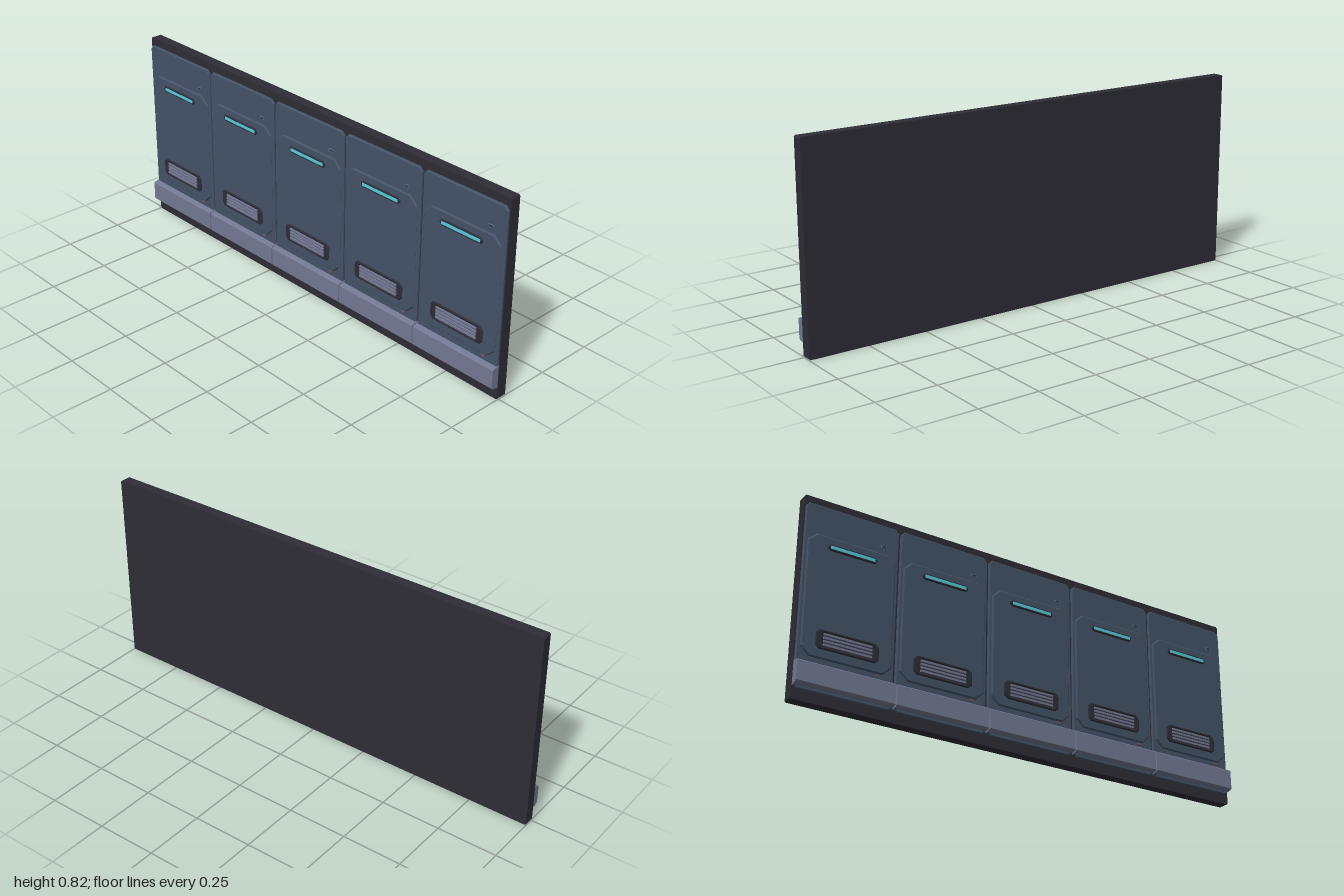
import * as THREE from 'three';

const mat = (name, color) => Object.assign(new THREE.MeshStandardMaterial({ color }), { name });

// Rectangle with cut corners: c = bottom cut [width, height], t = top cut
function outline(target, w, y0, y1, t, c = t) {
  const x = w / 2;
  [[-x + c[0], y0], [x - c[0], y0], [x, y0 + c[1]], [x, y1 - t[1]],
    [x - t[0], y1], [-x + t[0], y1], [-x, y1 - t[1]], [-x, y0 + c[1]]]
    .forEach(([px, py], i) => (i ? target.lineTo(px, py) : target.moveTo(px, py)));
  target.closePath();
  return target;
}

// Plate between z0 and z1 with a bevelled rim
function plate(shape, z0, z1, bevel) {
  const g = new THREE.ExtrudeGeometry(shape, {
    depth: z1 - z0 - 2 * bevel, bevelEnabled: bevel > 0, bevelSegments: 1,
    bevelSize: bevel, bevelThickness: bevel, bevelOffset: -bevel,
  });
  return g.translate(0, 0, z0 + bevel);
}

const box = (w, h, d, x, y, z) => new THREE.BoxGeometry(w, h, d).translate(x, y, z);

export function createModel() {
  const dark = mat('dark frame', 0x2e2d36);
  const blue = mat('slate blue panel', 0x455468);
  const grey = mat('lavender grey trim', 0x757a95);
  const cyan = mat('cyan light', 0x55cfe0);
  const red = mat('dull red marker', 0x7a5560);
  const steel = mat('steel marker', 0x566880);

  const model = new THREE.Group();
  model.name = 'wallPanel';
  const add = (parent, name, geometry, material) => {
    const mesh = new THREE.Mesh(geometry, material);
    mesh.name = name;
    parent.add(mesh);
  };

  // Backing slab
  const slab = outline(new THREE.Shape(), 2, 0, 0.825, [0.005, 0.005]);
  add(model, 'backing', plate(slab, -0.037, 0.007, 0), dark);

  // Outer panel, raised inner plate, vent frame with opening, light housing
  const outer = outline(new THREE.Shape(), 0.392, 0.04, 0.793, [0.015, 0.015]);
  const inner = outline(new THREE.Shape(), 0.366, 0.172, 0.668, [0.035, 0.033]);
  const ventShape = outline(new THREE.Shape(), 0.254, 0.208, 0.285, [0.014, 0.014]);
  ventShape.holes.push(outline(new THREE.Path(), 0.2, 0.218, 0.275, [0.004, 0.004]));
  const housing = outline(new THREE.Shape(), 0.204, 0.611, 0.638, [0.01, 0.01]);

  // Skirting profile, swept across one bay
  const skirt = new THREE.Shape([[0, 0.05], [0.033, 0.057], [0.039, 0.062], [0.039, 0.139],
    [0.035, 0.143], [0, 0.15]].map(([z, y]) => new THREE.Vector2(-z, y)));
  const skirtGeometry = new THREE.ExtrudeGeometry(skirt, { depth: 0.395, bevelEnabled: false })
    .translate(0, 0, -0.1975).rotateY(Math.PI / 2);

  const parts = [
    ['panel', plate(outer, 0, 0.017, 0.004), blue],
    ['innerPlate', plate(inner, 0.008, 0.023, 0.005), blue],
    ['ventFrame', plate(ventShape, 0.018, 0.028, 0.003), dark],
    ['ventRecess', box(0.21, 0.065, 0.002, 0, 0.2465, 0.0235), dark],
    ['lightHousing', plate(housing, 0.018, 0.028, 0.003), dark],
    ['lightStrip', box(0.184, 0.013, 0.004, 0, 0.6245, 0.027), cyan],
    ['skirting', skirtGeometry, grey],
    ['upperMarker', box(0.024, 0.011, 0.006, 0.13, 0.697, 0.018), steel],
    ['upperMarkerInset', box(0.016, 0.005, 0.002, 0.13, 0.697, 0.0208), dark],
    ['lowerMarker', box(0.016, 0.007, 0.006, 0.13, 0.164, 0.018), red],
  ];
  for (let i = 0; i < 4; i++) {
    parts.push(['ventSlat', box(0.196, 0.008, 0.006, 0, 0.226 + i * 0.0137, 0.027), grey]);
  }

  // Five identical bays
  for (let i = 0; i < 5; i++) {
    const bay = new THREE.Group();
    bay.name = 'bay' + (i + 1);
    bay.position.x = (i - 2) * 0.4;
    parts.forEach((p) => add(bay, ...p));
    model.add(bay);
  }
  return model;
}
